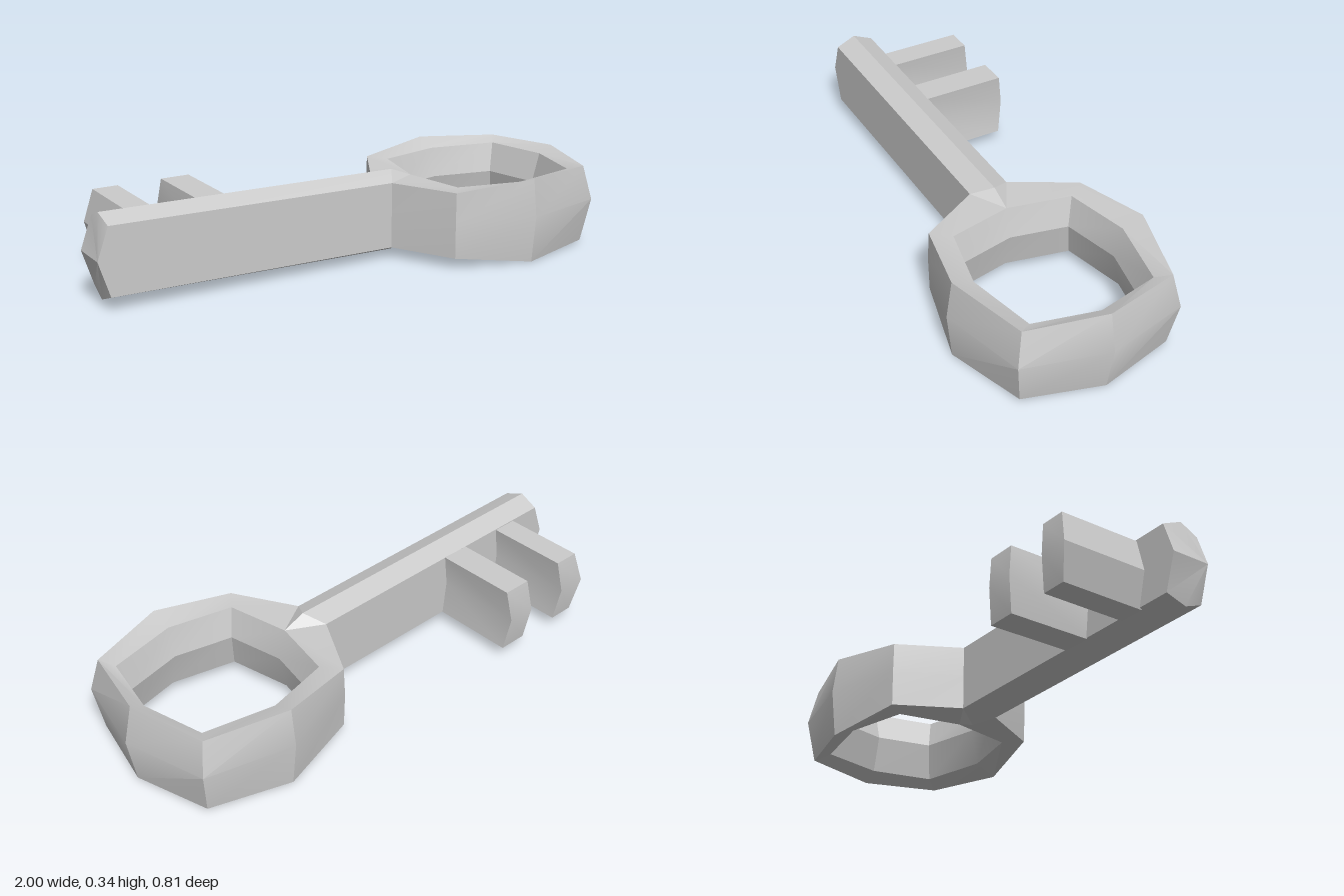
import * as THREE from 'three';
import { toCreasedNormals } from 'three/addons/utils/BufferGeometryUtils.js';

const material = new THREE.MeshStandardMaterial({ color: 0xcccccc });

// Skin a row of cross-sections; either join it into a loop or cap both ends.
function loft(name, sections, loop) {
  const n = sections[0].length, count = sections.length;
  const points = sections.flat(2), index = [];
  for (let i = 0; i < (loop ? count : count - 1); i++) {
    const p = i * n, q = ((i + 1) % count) * n;
    for (let j = 0; j < n; j++) {
      const k = (j + 1) % n;
      index.push(p + j, q + j, q + k, p + j, q + k, p + k);
    }
  }
  if (!loop) {
    const e = (count - 1) * n;
    for (let j = 1; j < n - 1; j++) {
      const a = 1 + j, b = (2 + j) % n;
      index.push(1, a, b, e + 1, e + b, e + a);
    }
  }
  const geometry = new THREE.BufferGeometry();
  geometry.setAttribute('position', new THREE.Float32BufferAttribute(points, 3));
  geometry.setIndex(index);
  const mesh = new THREE.Mesh(toCreasedNormals(geometry, 0.42), material);
  mesh.name = name;
  return mesh;
}

// Eight-sided bow, with extra stations where it flares into the shaft.
// Station: outer x, z, top, bottom, outer taper, inner x, z
function makeBow() {
  const cx = 0.59, cz = 0.005, mid = 0.18;
  const stations = [
    [1.0, 0.005, 0.32, 0.005, 0.92, 0.88, 0.005],
    [0.92, 0.32, 0.31, 0.014, 0.92, 0.83, 0.22],
    [0.59, 0.402, 0.322, 0.003, 0.95, 0.59, 0.27],
    [0.29, 0.315, 0.294, 0.045, 0.99, 0.37, 0.22],
    [0.165, 0.08, 0.295, 0.045, 1, 0.325, 0.005],
    [0.21, 0.005, 0.326, 0.012, 1, 0.325, 0.005],
    [0.165, -0.07, 0.295, 0.045, 1, 0.325, 0.005],
    [0.29, -0.305, 0.294, 0.045, 0.99, 0.37, -0.21],
    [0.59, -0.39, 0.322, 0.003, 0.95, 0.59, -0.26],
    [0.92, -0.31, 0.31, 0.014, 0.92, 0.83, -0.21],
  ];
  const sections = stations.map(([ox, oz, top, bottom, taper, ix, iz]) => {
    const at = (x, z, s, y) => [cx + (x - cx) * s, y, cz + (z - cz) * s];
    return [
      at(ox, oz, taper, top), at(ox, oz, 1, mid), at(ox, oz, taper, bottom),
      at(ix, iz, 1.11, 0.042), at(ix, iz, 1, mid), at(ix, iz, 1.11, 0.292),
    ];
  });
  return loft('bow', sections, true);
}

// Ridged shaft with a wedge-shaped tip.
function makeShaft() {
  const section = (xMid, xEdge, xRidge, bottom, top, ridgeBottom, ridgeTop) => [
    [xEdge, bottom, 0.08], [xMid, 0.19, 0.08], [xEdge, top, 0.08],
    [xRidge, ridgeTop, 0.005],
    [xEdge, top, -0.07], [xMid, 0.19, -0.07], [xEdge, bottom, -0.07],
    [xRidge, ridgeBottom, 0.005],
  ];
  return loft('shaft', [
    section(-0.998, -0.955, -0.96, 0.057, 0.31, 0.028, 0.34),
    section(0.165, 0.165, 0.21, 0.045, 0.295, 0.012, 0.326),
  ], false);
}

// Tooth with a pointed end and a bulging outer side.
function makeTooth(name, left, bulge, right) {
  const layer = (y, xl, xr, end) => [
    [xr, y, -0.06], [xl, y, -0.06], [xl, y, end], [xr, y, end],
  ];
  return loft(name, [
    layer(0.05, left, right, -0.386),
    layer(0.18, bulge, right - 0.015, -0.405),
    layer(0.304, left, right, -0.386),
  ], false);
}

export function createModel() {
  const group = new THREE.Group();
  group.name = 'key';
  group.add(
    makeBow(),
    makeShaft(),
    makeTooth('outerTooth', -0.825, -0.857, -0.727),
    makeTooth('innerTooth', -0.555, -0.57, -0.443),
  );
  return group;
}
